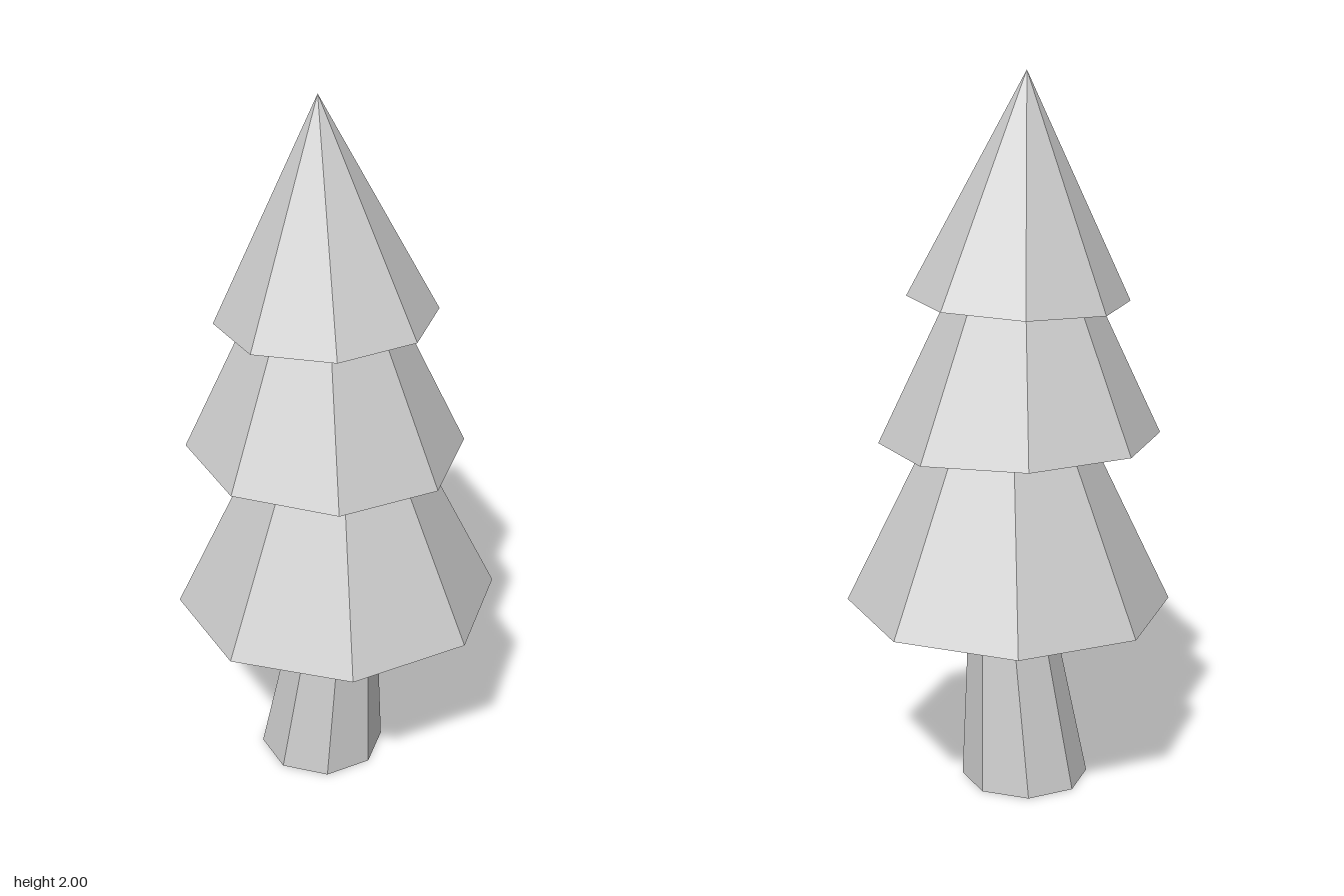
import * as THREE from 'three';

const SIDES = 8;
const material = new THREE.MeshStandardMaterial({ color: 0xcccccc, flatShading: true });

// Capped octagonal solid whose rings (bottom to top) each have their own
// centre, radius r and slope (tx, tz: rise per unit of x and z)
function octagonStack(name, rings) {
  const steps = rings.length - 1;
  const geometry = new THREE.CylinderGeometry(rings[steps].r === 0 ? 0 : 1, 1, 1, SIDES, steps);
  const p = geometry.attributes.position;
  for (let i = 0; i < p.count; i++) {
    const { x, y, z, r, tx = 0, tz = 0 } = rings[Math.round((p.getY(i) + 0.5) * steps)];
    const dx = p.getX(i) * r;
    const dz = p.getZ(i) * r;
    p.setXYZ(i, x + dx, y + dx * tx + dz * tz, z + dz);
  }
  geometry.computeVertexNormals();
  const mesh = new THREE.Mesh(geometry, material);
  mesh.name = name;
  return mesh;
}

export function createModel() {
  const tree = new THREE.Group();
  tree.name = 'pineTree';

  // Trunk: leans slightly and tapers, with a soft bend under the branches
  tree.add(octagonStack('trunk', [
    { x: -0.035, y: 0, z: -0.03, r: 0.18 },
    { x: -0.022, y: 0.43, z: 0.007, r: 0.126 },
    { x: -0.02, y: 0.57, z: 0.008, r: 0.115 },
  ]));

  // Foliage: three overlapping cones with slightly tilted bases
  tree.add(octagonStack('lowerFoliage', [
    { x: 0, y: 0.534, z: 0, r: 0.455, tx: -0.005, tz: 0.025 },
    { x: 0, y: 1.47, z: -0.005, r: 0 },
  ]));
  tree.add(octagonStack('middleFoliage', [
    { x: 0, y: 1.01, z: -0.04, r: 0.388, tx: -0.012, tz: -0.026 },
    { x: 0, y: 1.83, z: -0.05, r: 0 },
  ]));
  tree.add(octagonStack('upperFoliage', [
    { x: 0, y: 1.397, z: -0.036, r: 0.303, tz: 0.045 },
    { x: 0, y: 2, z: -0.063, r: 0 },
  ]));

  return tree;
}
